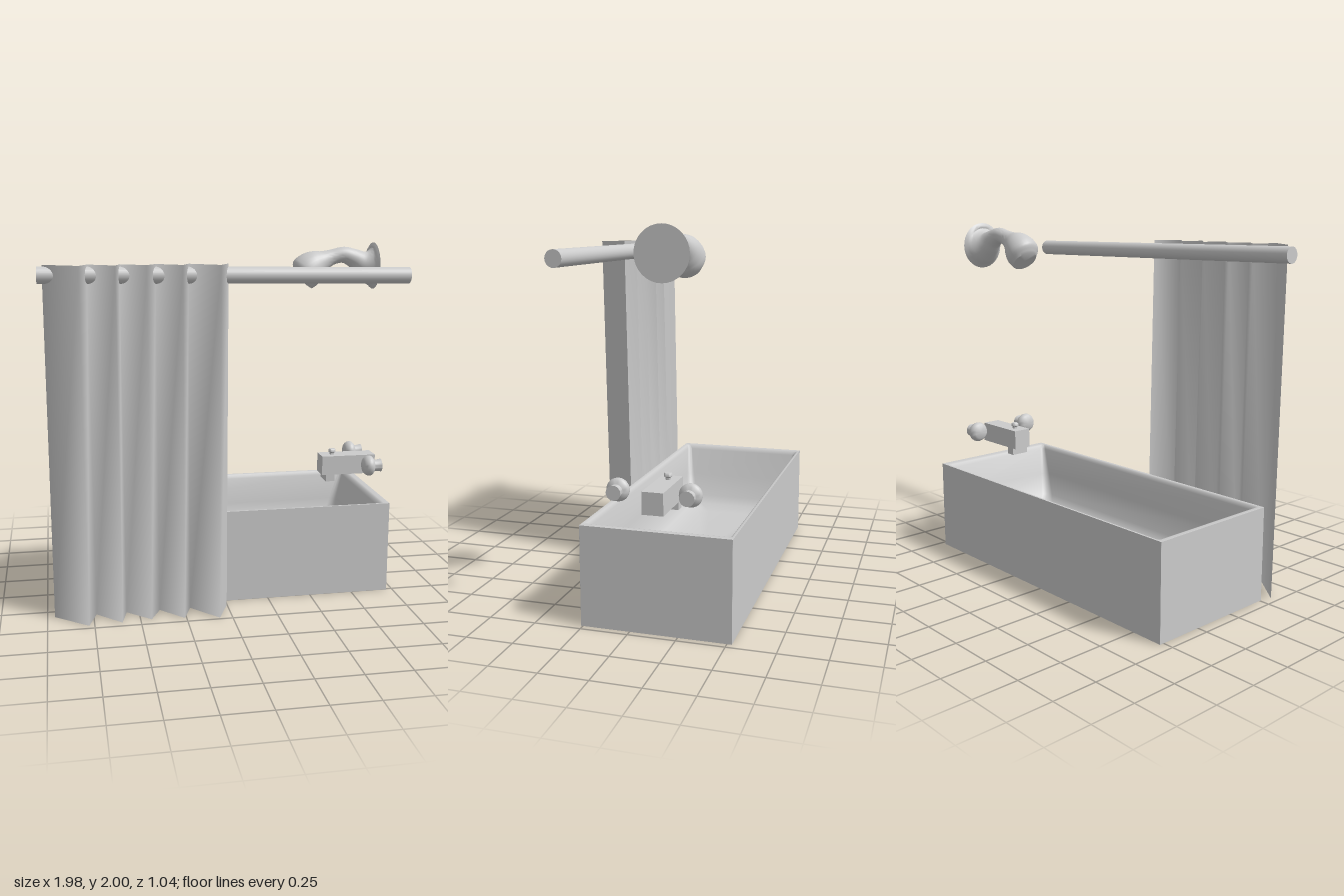
import * as THREE from 'three';
import { toCreasedNormals } from 'three/addons/utils/BufferGeometryUtils.js';

const material = new THREE.MeshStandardMaterial({ color: 0xcccccc });
const clothMaterial = new THREE.MeshStandardMaterial({ color: 0xcccccc, side: THREE.DoubleSide });

function part(name, geometry, x = 0, y = 0, z = 0, mat = material) {
  const mesh = new THREE.Mesh(geometry, mat);
  mesh.name = name;
  mesh.position.set(x, y, z);
  return mesh;
}

// Skin a list of closed rings that all have the same number of points
function loft(rings, crease) {
  const n = rings[0].length;
  const index = [];
  for (let i = 0; i < rings.length - 1; i++) {
    for (let j = 0; j < n; j++) {
      const k = (j + 1) % n;
      const a = i * n + j, b = i * n + k, c = a + n, d = b + n;
      index.push(a, b, d, a, d, c);
    }
  }
  const geometry = new THREE.BufferGeometry().setFromPoints(rings.flat());
  geometry.setIndex(index);
  return toCreasedNormals(geometry, crease);
}

// Horizontal rounded rectangle
function rectRing(y, x0, x1, z0, z1, r) {
  const points = [];
  const steps = 6;
  const corners = [[x1 - r, z0 + r], [x0 + r, z0 + r], [x0 + r, z1 - r], [x1 - r, z1 - r]];
  corners.forEach(([cx, cz], q) => {
    for (let s = 0; s <= steps; s++) {
      const a = (q + s / steps) * Math.PI / 2;
      points.push(new THREE.Vector3(cx + r * Math.cos(a), y, cz - r * Math.sin(a)));
    }
  });
  return points;
}

// Square flat-sided shell, and a rim rolling softly into the basin
function tub() {
  const outer = [-0.94, 0.965, -0.525, 0.26, 0.0005];
  const group = new THREE.Group();
  group.name = 'bathtub';
  group.add(part('tubShell', loft([
    rectRing(0, 0, 0, -0.13, -0.13, 0),
    rectRing(0, ...outer),
    rectRing(0.53, ...outer),
  ], 0.1)));
  group.add(part('tubBasin', loft([
    rectRing(0.53, ...outer),
    rectRing(0.53, -0.915, 0.935, -0.514, 0.248, 0.01),
    rectRing(0.526, -0.904, 0.92, -0.507, 0.24, 0.02),
    rectRing(0.505, -0.895, 0.91, -0.498, 0.232, 0.025),
    rectRing(0.35, -0.835, 0.865, -0.477, 0.214, 0.04),
    rectRing(0.22, -0.78, 0.82, -0.452, 0.192, 0.05),
    rectRing(0.17, -0.745, 0.78, -0.415, 0.158, 0.06),
    rectRing(0.142, -0.67, 0.72, -0.34, 0.08, 0.06),
    rectRing(0.13, 0.05, 0.05, -0.13, -0.13, 0),
  ], 1.7)));
  return group;
}

// Sheet folded in a zigzag, leaning back a little towards the hem
function curtain() {
  const folds = [[-0.96, 0.355], [-0.78, 0.5], [-0.733, 0.358], [-0.6, 0.49], [-0.568, 0.358], [-0.44, 0.475],
    [-0.383, 0.358], [-0.26, 0.488], [-0.212, 0.358], [-0.07, 0.518], [-0.003, 0.357]];
  const geometry = new THREE.PlaneGeometry(1, 1, folds.length - 1, 1);
  const position = geometry.attributes.position;
  for (let i = 0; i < position.count; i++) {
    const [x, z] = folds[i % folds.length];
    const drop = Math.floor(i / folds.length);
    position.setXYZ(i, x, 1.91 * (1 - drop), z - 0.033 * drop);
  }
  geometry.computeVertexNormals();
  return part('curtain', geometry, 0, 0, 0, clothMaterial);
}

// Rod, very slightly tilted
function rod() {
  const mesh = part('curtainRod', new THREE.CylinderGeometry(0.044, 0.044, 1.975, 32), 0, 1.849, 0.355);
  mesh.rotation.z = Math.PI / 2 - 0.01;
  return mesh;
}

// Wall flange, curved arm and flared head as one skin; each station is x, y, radius
function showerHead() {
  const curve = new THREE.CatmullRomCurve3([
    [0.967, 1.866, 0.136], [0.938, 1.868, 0.105], [0.9, 1.88, 0.076], [0.85, 1.908, 0.056],
    [0.785, 1.93, 0.047], [0.715, 1.917, 0.045], [0.66, 1.896, 0.06], [0.605, 1.87, 0.088],
    [0.557, 1.828, 0.098], [0.541, 1.787, 0.074],
  ].map(p => new THREE.Vector3(...p)));
  const ring = (p, t, r) => {
    const l = new THREE.Vector2(t.x, t.y).normalize();
    return Array.from({ length: 32 }, (_, j) => {
      const a = j / 32 * Math.PI * 2;
      const c = r * Math.cos(a);
      return new THREE.Vector3(p.x - l.y * c, p.y + l.x * c, -0.177 + r * Math.sin(a));
    });
  };
  const rings = [];
  const steps = 36;
  for (let i = 0; i <= steps; i++) {
    const p = curve.getPoint(i / steps);
    // The flange sits flat on the wall and the face looks down at an angle
    const t = curve.getTangent(i / steps);
    if (i === 0) t.set(-1, 0, 0);
    if (i > steps - 6) t.set(-0.68, -0.73, 0);
    if (i === 0) rings.push(ring(p, t, 0));
    rings.push(ring(p, t, p.z));
    if (i === steps) rings.push(ring(p, t, 0));
  }
  return part('showerHead', loft(rings, 0.8));
}

// Turned part from radius, height pairs
function turned(name, profile, x, y, z) {
  const geometry = new THREE.LatheGeometry(profile.map(p => new THREE.Vector2(...p)), 32);
  return part(name, toCreasedNormals(geometry, 0.8), x, y, z);
}

// Spout with its outlet and the pull knob on top
function faucet() {
  const group = new THREE.Group();
  group.name = 'faucet';
  group.add(
    part('spout', new THREE.BoxGeometry(0.33, 0.115, 0.11), 0.822, 0.678, -0.132),
    part('outlet', new THREE.BoxGeometry(0.055, 0.042, 0.11), 0.709, 0.601, -0.132),
    turned('pullKnob', [[0, 0], [0.014, 0], [0.014, 0.012], [0.022, 0.018], [0.022, 0.03], [0.017, 0.036], [0, 0.036]],
      0.732, 0.734, -0.132),
  );
  return group;
}

function tap(name, z) {
  const mesh = turned(name, [[0, 0], [0.038, 0], [0.034, 0.02], [0.034, 0.042], [0.046, 0.048], [0.057, 0.058],
    [0.06, 0.07], [0.058, 0.083], [0.05, 0.097], [0.038, 0.106], [0, 0.106]], 0.968, 0.71, z);
  mesh.rotation.z = Math.PI / 2;
  return mesh;
}

export function createModel() {
  const model = new THREE.Group();
  model.name = 'bathtubWithShower';
  model.add(tub(), curtain(), rod(), showerHead(), faucet(), tap('frontTap', 0.076), tap('backTap', -0.298));
  return model;
}
